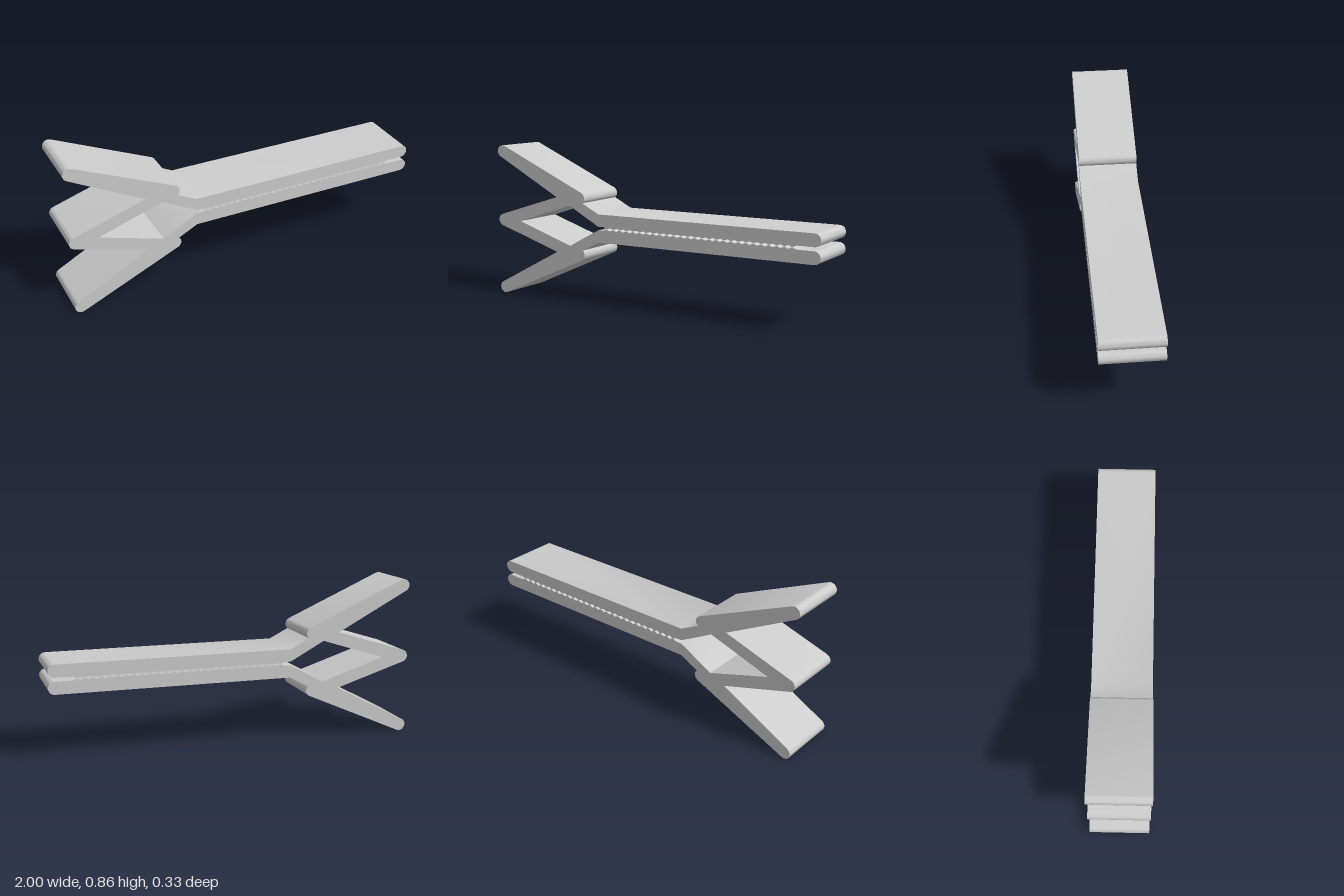
import * as THREE from 'three';
import { toCreasedNormals } from 'three/addons/utils/BufferGeometryUtils.js';

const MID_Y = 0.43;   // height of the mirror line between the two halves
const DEPTH = 0.326;
const R = 0.034;      // radius of all rounded ends

// Points on an arc, angles in degrees
function arc(cx, cy, from, to, steps = 14) {
  const points = [];
  for (let i = 0; i <= steps; i++) {
    const a = THREE.MathUtils.degToRad(from + (to - from) * i / steps);
    points.push([cx + R * Math.cos(a), cy + R * Math.sin(a)]);
  }
  return points;
}

// Gripping teeth on the inner jaw face, from the tip back to the hinge
function teeth(xStart, xEnd, count, root, tip) {
  const points = [];
  const pitch = (xEnd - xStart) / count;
  for (let i = 0; i < count; i++) {
    points.push([xStart + i * pitch, root], [xStart + (i + 0.5) * pitch, tip]);
  }
  points.push([xEnd, root]);
  return points;
}

// Upper half of the clip outline, with y measured from the mirror line
function upperHalf() {
  return [
    ...arc(-0.966, 0, 180, 107, 8),       // outer bend of the spring
    [-0.585, 0.155],                      // notch between spring and handle
    ...arc(-0.966, 0.396, 246, 66),       // handle end
    ...arc(-0.431, 0.158, 66, -50),       // handle shoulder
    [-0.303, 0.078],                      // bend into the jaw
    ...arc(0.966, 0.044, 90, -90),        // jaw tip
    ...teeth(0.87, -0.27, 27, 0.01, 0.0006),
    [-0.305, 0.01],
    [-0.495, 0.113],                      // inside of the spring
    [-0.845, 0],
  ];
}

export function createModel() {
  const group = new THREE.Group();
  group.name = 'springClip';

  // Mirror the upper half to close the outline, dropping the two shared points
  const upper = upperHalf();
  const lower = upper.slice(1, -1).reverse().map(([x, y]) => [x, -y]);
  const outline = [...upper, ...lower].map(([x, y]) => new THREE.Vector2(x, y + MID_Y));

  const geometry = new THREE.ExtrudeGeometry(new THREE.Shape(outline), {
    depth: DEPTH, bevelEnabled: false,
  });
  geometry.translate(0, 0, -DEPTH / 2);

  const clip = new THREE.Mesh(
    toCreasedNormals(geometry, 0.5),
    new THREE.MeshStandardMaterial({ color: 0xcccccc }),
  );
  clip.name = 'clipBody';
  group.add(clip);
  return group;
}
